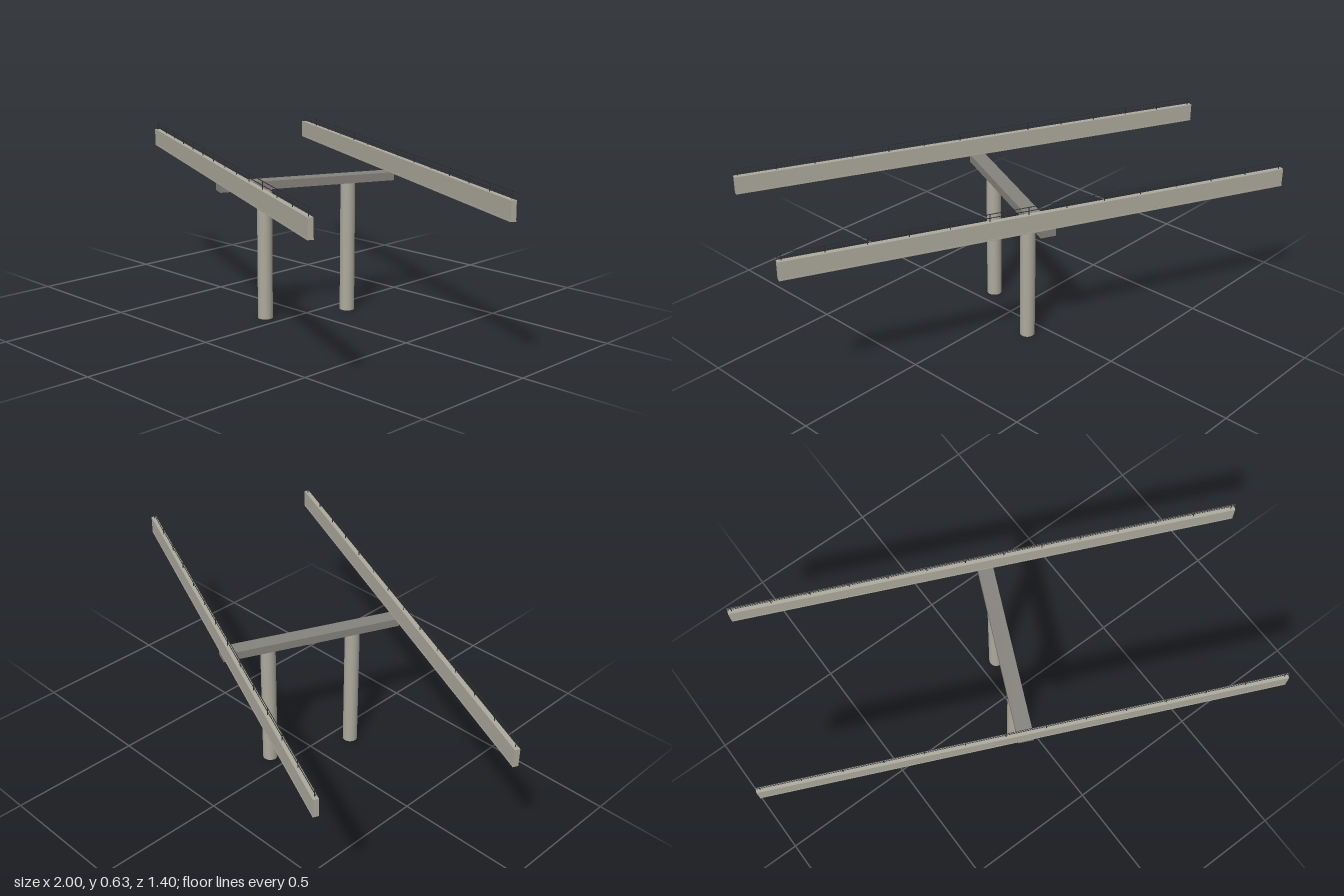
import * as THREE from 'three';

const SKEW = 0.423;    // plan rotation of the whole bridge frame
const SLOPE = 0.0066;  // gentle rise along the girders
const LENGTH = 1.88;
const concrete = new THREE.MeshStandardMaterial({ color: 0xaca99c });
const darkConcrete = new THREE.MeshStandardMaterial({ color: 0x85827c });
const railMetal = new THREE.MeshStandardMaterial({ color: 0x2c2e30 });

function add(parent, name, geometry, material, x, y, z) {
  const mesh = new THREE.Mesh(geometry, material);
  mesh.name = name;
  mesh.position.set(x, y, z);
  parent.add(mesh);
}

// Edge girder with a thin bottom flange and a two-rail guard railing
function makeGirder(name) {
  const g = new THREE.Group();
  g.name = name;
  add(g, 'girderBeam', new THREE.BoxGeometry(LENGTH, 0.063, 0.019), concrete, 0, 0.0365, 0);
  add(g, 'bottomFlange', new THREE.BoxGeometry(LENGTH, 0.005, 0.021), concrete, 0, 0.0025, 0);

  const top = 0.068;
  for (const h of [0.014, 0.028]) {
    const rail = new THREE.CylinderGeometry(0.0014, 0.0014, LENGTH, 6).rotateZ(Math.PI / 2);
    add(g, 'rail', rail, railMetal, 0, top + h, 0);
  }
  const posts = 14;
  const post = new THREE.CylinderGeometry(0.0016, 0.0016, 0.028, 6);
  for (let i = 0; i < posts; i++) {
    const x = (i / (posts - 1) - 0.5) * (LENGTH - 0.03);
    add(g, 'railPost', post, railMetal, x, top + 0.014, 0);
  }
  return g;
}

export function createModel() {
  const model = new THREE.Group();
  model.name = 'bridgeFrame';
  const frame = new THREE.Group();
  frame.name = 'skewedFrame';
  frame.rotation.y = -SKEW;
  model.add(frame);

  // Pier: two round columns under a cross beam
  const column = new THREE.CylinderGeometry(0.028, 0.028, 0.497, 24);
  for (const s of [-1, 1]) add(frame, 'column', column, concrete, 0, 0.2485, s * 0.165);
  add(frame, 'crossBeam', new THREE.BoxGeometry(0.057, 0.031, 0.683), darkConcrete, 0, 0.5115, 0);

  // Girders resting on both ends of the cross beam
  for (const s of [-1, 1]) {
    const girder = makeGirder(s > 0 ? 'frontGirder' : 'backGirder');
    girder.position.set(0, 0.526, s * 0.336);
    girder.rotation.z = SLOPE;
    frame.add(girder);
  }
  return model;
}
